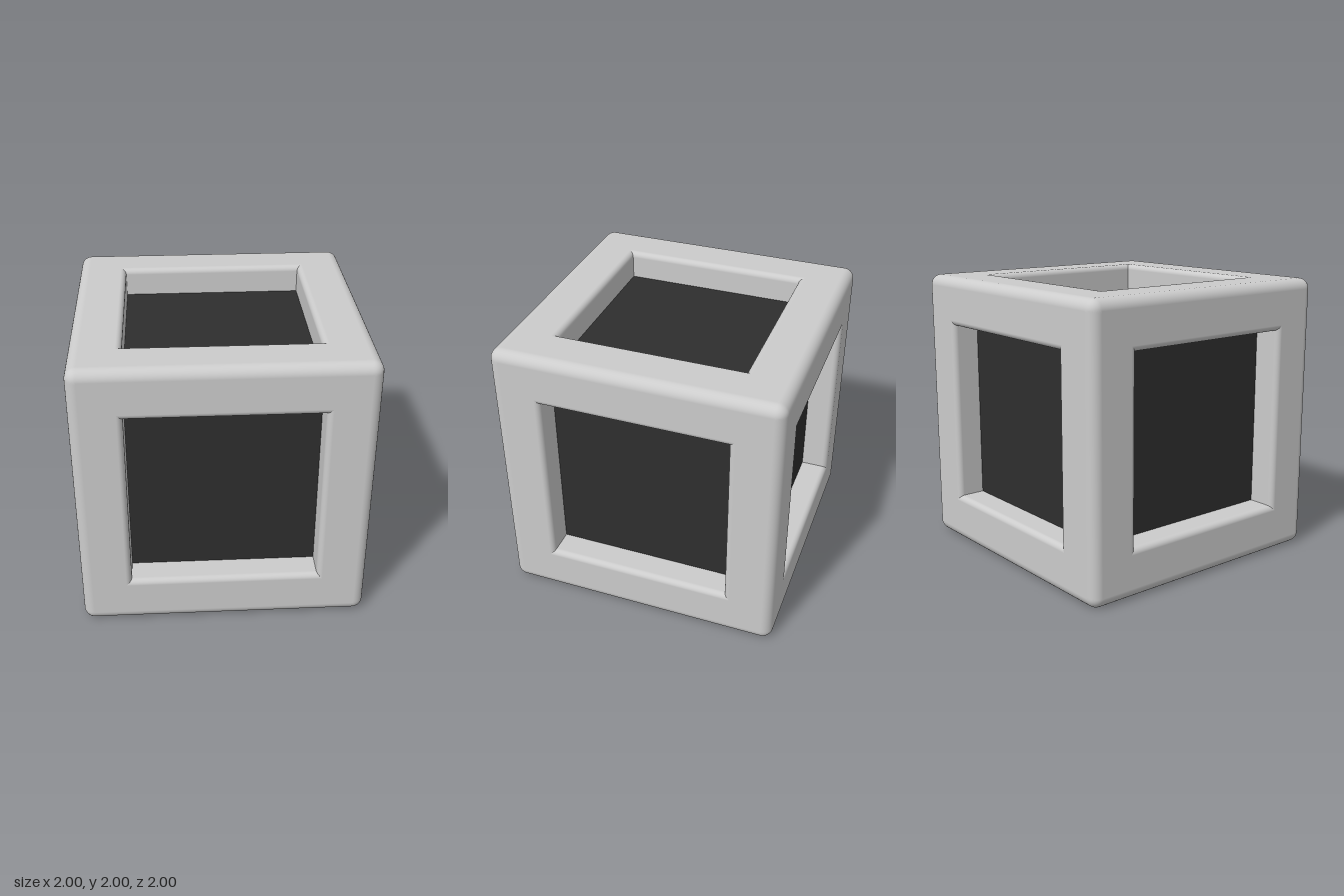
import * as THREE from 'three';
import { mergeGeometries } from 'three/addons/utils/BufferGeometryUtils.js';

const EDGE = 0.075;    // rounding of the outer edges
const HOLE = 0.65;     // half width of each opening
const LIP = 0.04;      // rounding of the opening's lip
const PANEL = 0.8;     // distance of the dark panels from the centre
const CORE = 1 - EDGE;
const STEPS = 6;

// One mitred side of a face frame: rows run from the outer edge over the lip into the opening
function frameSide() {
  const ends = [];
  for (let i = STEPS; i >= 0; i--) ends.push(CORE + EDGE * Math.tan((i / STEPS) * Math.PI / 4));
  const columns = [...ends.map((v) => -v), ...ends.slice().reverse()];

  const rows = [];
  // Rounded outer edge and flat face
  for (const h of [...ends, HOLE + LIP]) {
    rows.push((t) => {
      const p = new THREE.Vector3(h, 1, t * h);
      const inner = p.clone().clampScalar(-CORE, CORE);
      const n = p.sub(inner).normalize();
      return [inner.addScaledVector(n, EDGE), n];
    });
  }
  // Rounded lip, then the straight wall
  const lipRow = (a, y) => (t) => {
    const h = HOLE + LIP - LIP * Math.sin(a);
    return [new THREE.Vector3(h, y, t * h), new THREE.Vector3(-Math.sin(a), Math.cos(a), 0)];
  };
  for (let i = 1; i <= STEPS; i++) {
    const a = (i / STEPS) * Math.PI / 2;
    rows.push(lipRow(a, 1 - LIP + LIP * Math.cos(a)));
  }
  rows.push(lipRow(Math.PI / 2, PANEL - 0.01));

  const positions = [], normals = [], index = [];
  const n = columns.length;
  rows.forEach((row, r) => columns.forEach((t, c) => {
    const [p, normal] = row(t);
    positions.push(...p.toArray());
    normals.push(...normal.toArray());
    if (r < rows.length - 1 && c < n - 1) {
      const a = r * n + c, b = a + n;
      index.push(a, b, a + 1, b, b + 1, a + 1);
    }
  }));
  const g = new THREE.BufferGeometry();
  g.setAttribute('position', new THREE.Float32BufferAttribute(positions, 3));
  g.setAttribute('normal', new THREE.Float32BufferAttribute(normals, 3));
  g.setIndex(index);
  return g;
}

export function createModel() {
  const model = new THREE.Group();
  const frameGrey = new THREE.MeshStandardMaterial({ name: 'light grey', color: 0xcccccc });
  const panelDark = new THREE.MeshStandardMaterial({ name: 'dark grey', color: 0x2e2e2e });

  const cube = new THREE.Group();
  cube.name = 'framedCube';
  cube.position.y = 1;
  model.add(cube);

  // Four mitred sides make one face of the frame
  const side = frameSide();
  const face = mergeGeometries([0, 1, 2, 3].map((i) => side.clone().rotateY(i * Math.PI / 2)));

  const q = Math.PI / 2;
  const turns = {
    top: [0, 0], bottom: [2 * q, 0], front: [q, 0],
    back: [-q, 0], left: [0, -q], right: [0, q],
  };
  for (const [name, [rx, rz]] of Object.entries(turns)) {
    const mesh = new THREE.Mesh(face, frameGrey);
    mesh.name = name + 'Frame';
    mesh.rotation.set(rx, 0, rz);
    cube.add(mesh);
  }

  // Dark block whose faces show as the recessed panels
  const panels = new THREE.Mesh(new THREE.BoxGeometry(2 * PANEL, 2 * PANEL, 2 * PANEL), panelDark);
  panels.name = 'recessedPanels';
  cube.add(panels);

  return model;
}
